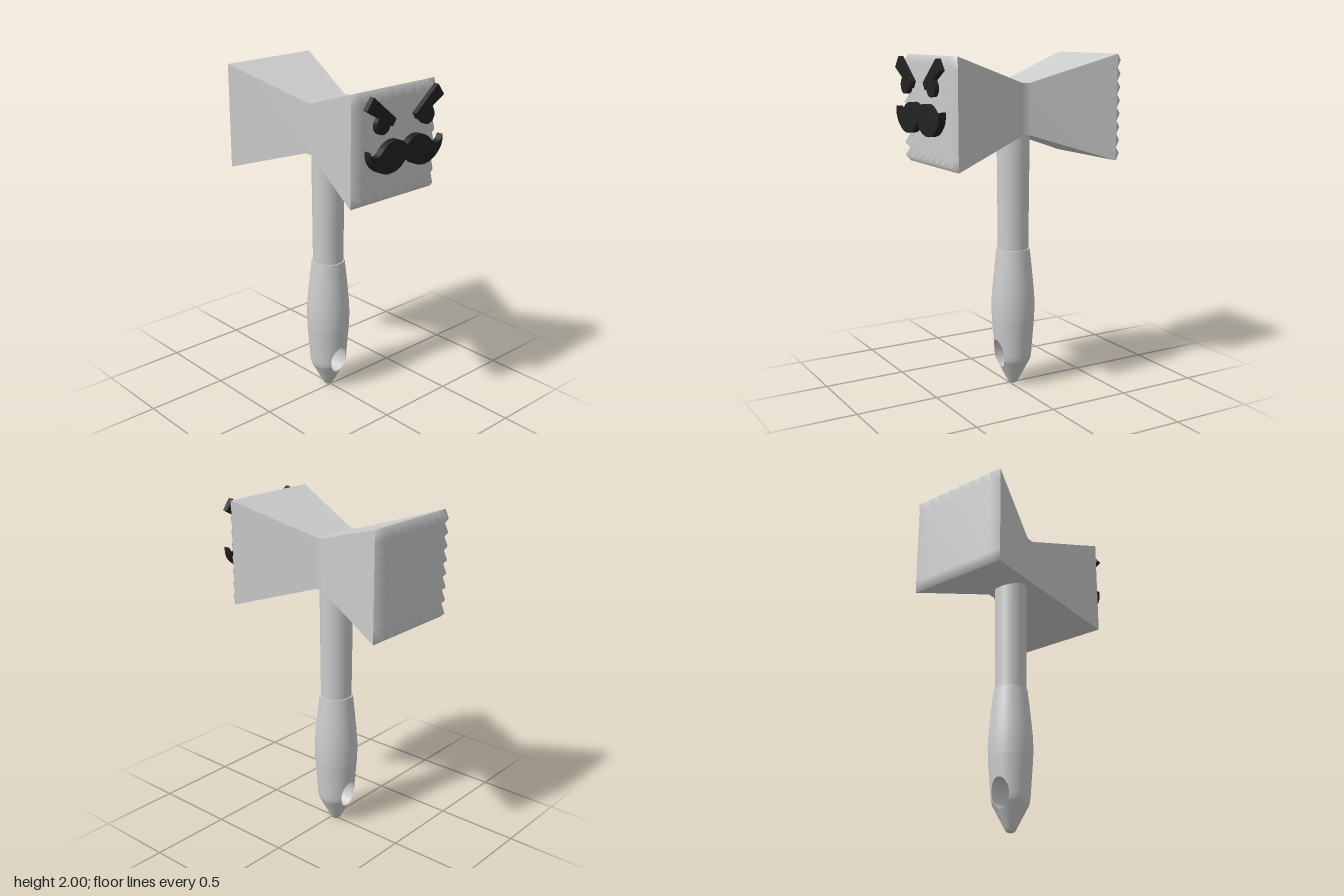
import * as THREE from 'three';
import { mergeVertices } from 'three/addons/utils/BufferGeometryUtils.js';

const steel = new THREE.MeshStandardMaterial({ color: 0xcccccc });
const steelOpen = new THREE.MeshStandardMaterial({ color: 0xcccccc, side: THREE.DoubleSide });
const dark = new THREE.MeshStandardMaterial({ color: 0x222222 });

const HEAD_Y = 1.69, HALF = 0.31, WAIST = 0.15; // head sizes
const HOLE_Y = 0.203, SPLIT = 0.42; // hanging hole centre, top of the pierced part

function mesh(name, geometry, material = steel) {
  const m = new THREE.Mesh(geometry, material);
  m.name = name;
  return m;
}

function indexed(positions, index) {
  const g = new THREE.BufferGeometry();
  g.setAttribute('position', new THREE.Float32BufferAttribute(positions, 3));
  g.setIndex(index);
  return g;
}

// Four sides of the waisted head, smooth along z and sharp at the corners
function headSides() {
  const sections = [[-0.52, HALF], [-0.025, WAIST], [0.025, WAIST], [0.52, HALF]];
  const pos = [], idx = [];
  for (let side = 0; side < 4; side++) {
    const a = side * Math.PI / 2, c = Math.round(Math.cos(a)), s = Math.round(Math.sin(a));
    const base = pos.length / 3;
    for (const [z, h] of sections) {
      for (const v of [-h, h]) pos.push(h * c - v * s, h * s + v * c, z);
    }
    for (let i = 0; i < 3; i++) {
      const p = base + i * 2;
      idx.push(p, p + 1, p + 3, p, p + 3, p + 2);
    }
  }
  const g = indexed(pos, idx);
  g.computeVertexNormals();
  return g;
}

// Square field of pyramid teeth facing +z
function teeth(n = 8, depth = 0.05) {
  const pos = [], idx = [], step = 2 * HALF / n;
  for (let j = 0; j <= n; j++)
    for (let i = 0; i <= n; i++) pos.push(-HALF + i * step, -HALF + j * step, 0);
  for (let j = 0; j < n; j++) {
    for (let i = 0; i < n; i++) {
      const tip = pos.length / 3, a = j * (n + 1) + i, b = a + 1, c = b + n + 1, d = a + n + 1;
      pos.push(-HALF + (i + 0.5) * step, -HALF + (j + 0.5) * step, depth);
      idx.push(a, b, tip, b, c, tip, c, d, tip, d, a, tip);
    }
  }
  const g = indexed(pos, idx);
  g.computeVertexNormals();
  return g;
}

// Grip profile as [height, radius]
const profile = [[0, 0.02], [0.01, 0.03], [0.16, 0.107], [0.19, 0.112], [0.3, 0.12], [0.42, 0.129],
  [0.49, 0.131], [0.56, 0.129], [0.65, 0.121], [0.75, 0.111], [0.85, 0.1]];

function radius(y) {
  let i = 1;
  while (i < profile.length - 1 && profile[i][0] < y) i++;
  const [y0, r0] = profile[i - 1], [y1, r1] = profile[i];
  return THREE.MathUtils.lerp(r0, r1, (y - y0) / (y1 - y0));
}

// Lower grip: bands spread from the oval hole to the outline, front and back
function piercedGrip() {
  const half = [];
  for (let i = 0; i < 6; i++) half.push([radius(0) * Math.sin(i / 6 * Math.PI / 2), 0]);
  for (let i = 0; i < 42; i++) half.push([radius(i / 42 * SPLIT), i / 42 * SPLIT]);
  for (let i = 0; i <= 16; i++) half.push([radius(SPLIT) * Math.cos(i / 16 * Math.PI / 2), SPLIT]);
  const outline = half.concat(half.slice(1, -1).reverse().map(([x, y]) => [-x, y]));
  const rim = outline.map(([x, y]) => {
    const a = Math.atan2((y - HOLE_Y) / 0.088, x / 0.06);
    return [0.06 * Math.cos(a), HOLE_Y + 0.088 * Math.sin(a)];
  });
  const depth = (x, y) => Math.sqrt(Math.max(0, radius(y) ** 2 - x * x));
  const n = outline.length, bands = 14, pos = [], idx = [];
  for (const s of [1, -1]) {
    const base = pos.length / 3;
    for (let i = 0; i < n; i++) {
      for (let j = 0; j <= bands; j++) {
        const t = Math.sin(j / bands * Math.PI / 2);
        const x = THREE.MathUtils.lerp(rim[i][0], outline[i][0], t);
        const y = THREE.MathUtils.lerp(rim[i][1], outline[i][1], t);
        pos.push(x, y, s * depth(x, y));
      }
    }
    for (let i = 0; i < n; i++) {
      for (let j = 0; j < bands; j++) {
        const a = base + i * (bands + 1) + j, b = base + ((i + 1) % n) * (bands + 1) + j;
        if (s > 0) idx.push(a, a + 1, b + 1, a, b + 1, b);
        else idx.push(a, b + 1, a + 1, a, b, b + 1);
      }
    }
  }
  const skin = mergeVertices(indexed(pos, idx), 1e-5);
  skin.computeVertexNormals();

  // Wall of the hole
  const wp = [], wi = [];
  rim.forEach(([x, y], i) => {
    const z = depth(x, y), a = 2 * i, b = 2 * ((i + 1) % n);
    wp.push(x, y, z, x, y, -z);
    wi.push(a, b, a + 1, b, b + 1, a + 1);
  });
  const wall = indexed(wp, wi);
  wall.computeVertexNormals();
  return [mesh('lowerGrip', skin), mesh('hangingHole', wall, steelOpen)];
}

function plate(name, shape, z, depth) {
  const g = new THREE.ExtrudeGeometry(shape, { depth, bevelEnabled: false, curveSegments: 16 });
  g.translate(0, 0, z);
  return mesh(name, g, dark);
}

function moustacheShape() {
  const top = [[0.276, 1.708], [0.26, 1.682], [0.235, 1.668], [0.205, 1.674], [0.17, 1.708],
    [0.13, 1.732], [0.085, 1.741], [0.04, 1.73], [0, 1.703]];
  const bottom = [[0, 1.632], [0.05, 1.587], [0.1, 1.569], [0.15, 1.567], [0.205, 1.585],
    [0.25, 1.622], [0.272, 1.66], [0.276, 1.708]];
  const curve = (pts) => new THREE.SplineCurve(pts.map(([x, y]) => new THREE.Vector2(x, y))).getPoints(32);
  const right = [...curve(bottom), ...curve(top).slice(1)];
  const left = right.slice(1, -1).reverse().map((p) => new THREE.Vector2(-p.x, p.y));
  return new THREE.Shape([...right, ...left]);
}

export function createModel() {
  const model = new THREE.Group();
  model.name = 'meatMallet';

  // Head with teeth at both ends
  const head = new THREE.Group();
  head.name = 'head';
  head.position.set(0, HEAD_Y, -0.025);
  head.add(mesh('headBody', headSides()));
  const front = mesh('frontTeeth', teeth());
  front.position.z = 0.52;
  const back = mesh('backTeeth', teeth());
  back.position.z = -0.52;
  back.rotation.y = Math.PI;
  head.add(front, back);

  // Handle: shaft, grip and pierced end
  const handle = new THREE.Group();
  handle.name = 'handle';
  handle.position.z = -0.025;
  const shaft = mesh('shaft', new THREE.CylinderGeometry(0.098, 0.092, 0.76, 48));
  shaft.position.y = 1.22;
  const gripPoints = profile.filter(([y]) => y >= SPLIT).map(([y, r]) => new THREE.Vector2(r, y));
  const shoulder = mesh('gripShoulder', new THREE.RingGeometry(0.08, 0.1, 64));
  shoulder.rotation.x = -Math.PI / 2;
  shoulder.position.y = 0.85;
  const tip = mesh('gripTip', new THREE.CircleGeometry(0.02, 24));
  tip.rotation.x = Math.PI / 2;
  handle.add(shaft, mesh('upperGrip', new THREE.LatheGeometry(gripPoints, 64)), shoulder, tip, ...piercedGrip());

  // Face floating in front of the teeth
  const face = new THREE.Group();
  face.name = 'face';
  for (const s of [1, -1]) {
    const side = s > 0 ? 'left' : 'right';
    const brow = [[0.24, 1.99], [0.075, 1.855], [0.1, 1.817], [0.288, 1.927]];
    face.add(plate(side + 'Brow', new THREE.Shape(brow.map(([x, y]) => new THREE.Vector2(s * x, y))), 0.56, 0.03));
    face.add(plate(side + 'Eye', new THREE.Shape().absarc(s * 0.168, 1.832, 0.05, 0, Math.PI * 2), 0.561, 0.028));
  }
  const moustache = plate('moustache', moustacheShape(), 0.555, 0.042);
  moustache.position.x = 0.007;
  face.add(moustache);

  model.add(head, handle, face);
  return model;
}
